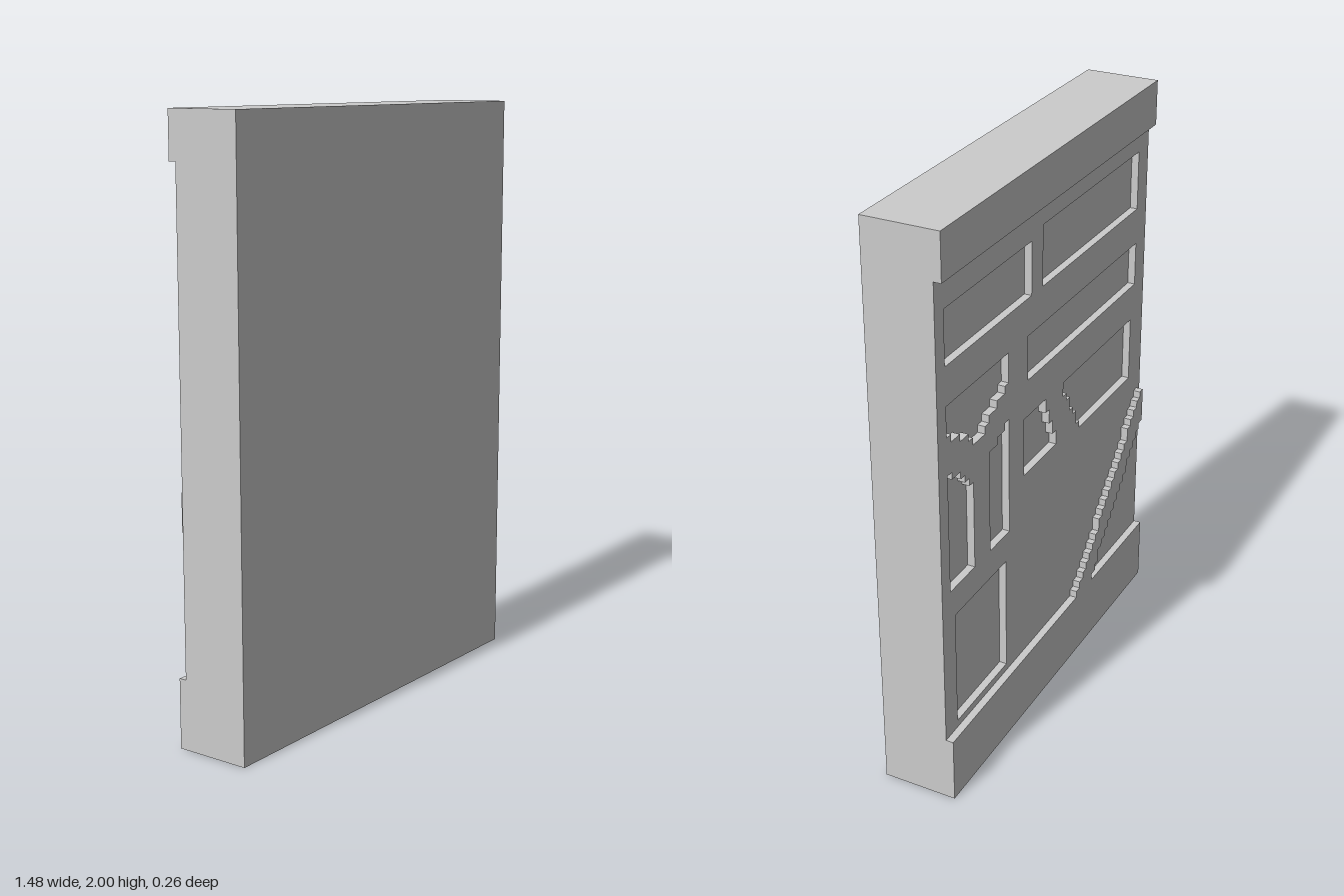
import * as THREE from 'three';

// Everything is laid out on a square grid: 57 cells wide, 77 high, 10 deep.
const CELL = 2 / 77, W = 57, H = 77;
const BASE = 9, BAND = 71;

// Outline around columns starting at i0; each column spans bottoms[k]..tops[k].
// Columns count from the model's left (+x) edge.
function columns(i0, bottoms, tops) {
  const pts = [];
  const add = (i, j) => pts.push(new THREE.Vector2(W / 2 - i, j));
  bottoms.forEach((j, k) => { add(i0 + k, j); add(i0 + k + 1, j); });
  for (let k = tops.length - 1; k >= 0; k--) { add(i0 + k + 1, tops[k]); add(i0 + k, tops[k]); }
  // drop repeated and collinear points
  const unique = pts.filter((p, n) => !p.equals(pts[(n + 1) % pts.length]));
  return unique.filter((p, n) => {
    const a = unique[(n + unique.length - 1) % unique.length], b = unique[(n + 1) % unique.length];
    return (p.x - a.x) * (b.y - p.y) !== (p.y - a.y) * (b.x - p.x);
  });
}

const fill = (n, v) => Array(n).fill(v);
const rect = (i0, i1, j0, j1) => columns(i0, fill(i1 - i0, j0), fill(i1 - i0, j1));

export function createModel() {
  const group = new THREE.Group();
  const material = new THREE.MeshStandardMaterial({ color: 0xcccccc, flatShading: true });

  const add = (name, geometry) => {
    geometry.scale(CELL, CELL, CELL);
    const mesh = new THREE.Mesh(geometry, material);
    mesh.name = name;
    group.add(mesh);
  };
  const box = (name, y0, y1, z0, z1) => add(name,
    new THREE.BoxGeometry(W, y1 - y0, z1 - z0).translate(0, (y0 + y1) / 2, (z0 + z1) / 2));
  const slab = (name, shape, z) => add(name,
    new THREE.ExtrudeGeometry(shape, { depth: 1, bevelEnabled: false }).translate(0, 0, z));

  // Solid core, with the plinth and top band standing proud at the back
  box('core', 0, H, -3, 5);
  box('plinth', 0, BASE, -5, -3);
  box('topBand', BAND, H, -5, -3);

  // Back wall, one cell thick, pierced by the sunken panels.
  // Its outline runs opposite to the holes so the recess sides face inwards.
  const wall = new THREE.Shape(rect(0, W, BASE, BAND).reverse());
  const panels = [
    rect(2, 23, 60, 67),
    rect(26, 54, 60, 68),
    rect(22, 54, 49, 55),
    rect(3, 16, 10, 26),
    // stepped V and the two panels beneath it
    columns(2, [51, 50, 50, 49, 49, 48, 47, 47, 47, 48, 49, 49, 50, 50, 51], fill(15, 55)),
    columns(2, fill(6, 30), [46, 45, 45, 44, 43, 42]),
    columns(12, fill(5, 30), [44, 44, 45, 45, 46]),
    // pair separated by a stepped diagonal
    columns(21, fill(9, 36), [...fill(6, 44), 42, 40, 38]),
    columns(32, [42, 41, 39, 38, 36, ...fill(16, 35)], fill(21, 44)),
  ];
  panels.forEach((p) => wall.holes.push(new THREE.Path(p)));
  slab('panelledWall', wall, -4);

  // Raised stepped diagonal, five cells tall, climbing from the plinth
  const tops = [], bottoms = [];
  for (let i = 35; i < 56; i++) {
    const top = i - 25 + (i >= 42 ? 1 : 0) + (i >= 51 ? 1 : 0);
    tops.push(top);
    bottoms.push(Math.max(BASE, top - 5));
  }
  slab('steppedDiagonal', new THREE.Shape(columns(35, bottoms, tops)), -5);

  return group;
}
